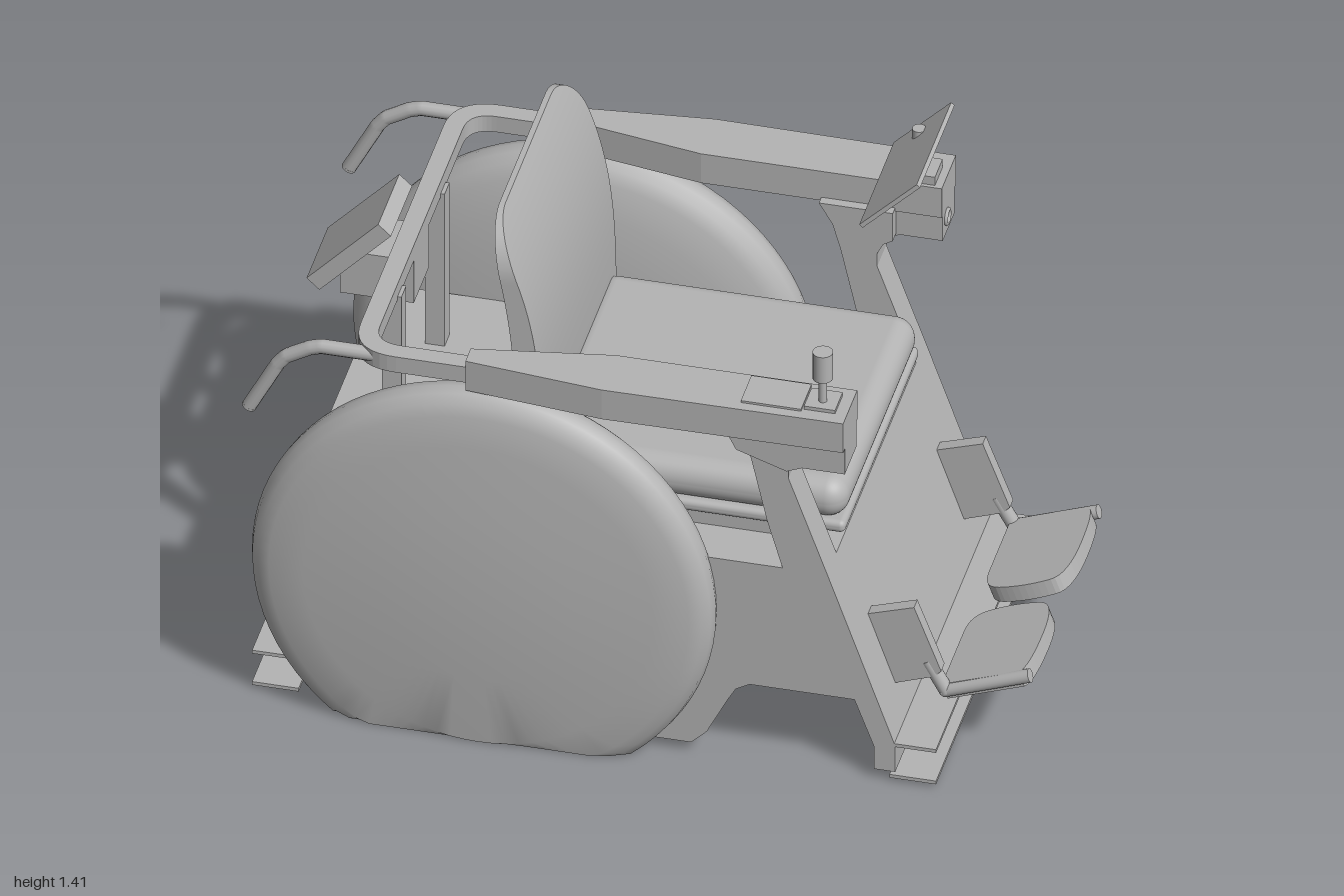
import * as THREE from 'three';
import { toCreasedNormals } from 'three/addons/utils/BufferGeometryUtils.js';
import { RoundedBoxGeometry } from 'three/addons/geometries/RoundedBoxGeometry.js';

export function createModel() {
  const model = new THREE.Group();
  const grey = new THREE.MeshStandardMaterial({ color: 0xb4b4b4 });
  grey.name = 'grey';

  const add = (name, geometry) => {
    const mesh = new THREE.Mesh(geometry, grey);
    mesh.name = name;
    model.add(mesh);
    return mesh;
  };
  // Box given by its limits on each axis
  const box = (name, x0, x1, y0, y1, z0, z1) =>
    add(name, new THREE.BoxGeometry(x1 - x0, y1 - y0, z1 - z0)
      .translate((x0 + x1) / 2, (y0 + y1) / 2, (z0 + z1) / 2));
  const shapeOf = (pts) => new THREE.Shape(pts.map(([x, y]) => new THREE.Vector2(x, y)));
  // Side outline (x, y) extruded from z0 to z1
  const slab = (name, pts, z0, z1) =>
    add(name, new THREE.ExtrudeGeometry(shapeOf(pts), { depth: z1 - z0, bevelEnabled: false })
      .translate(0, 0, z0));
  // Plan outline (x, z) extruded from y0 to y1
  const plan = (name, pts, y0, y1) =>
    add(name, new THREE.ExtrudeGeometry(shapeOf(pts.map(([x, z]) => [x, -z])),
      { depth: y1 - y0, bevelEnabled: false }).rotateX(-Math.PI / 2).translate(0, y0, 0));
  const rod = (name, a, b, r) => {
    const p = new THREE.Vector3(...a), q = new THREE.Vector3(...b);
    const mesh = add(name, new THREE.CylinderGeometry(r, r, p.distanceTo(q), 20));
    mesh.position.copy(p).add(q).multiplyScalar(0.5);
    mesh.quaternion.setFromUnitVectors(new THREE.Vector3(0, 1, 0), q.sub(p).normalize());
    return mesh;
  };
  const span = (s, a, b) => (s > 0 ? [a, b] : [-b, -a]);

  // Domed wheel covers, cut flat at the ground
  const wheelProfile = [[0, 0.42], [0.3, 0.42], [0.45, 0.44], [0.54, 0.462], [0.575, 0.48], [0.592, 0.503],
    [0.597, 0.53], [0.59, 0.556], [0.57, 0.575], [0.54, 0.587], [0.45, 0.596], [0.25, 0.612], [0, 0.618]]
    .map(([r, z]) => new THREE.Vector2(r, z));
  for (const s of [1, -1]) {
    const g = new THREE.LatheGeometry(wheelProfile, 80)
      .rotateX(s * Math.PI / 2).translate(-0.378, 0.45, 0);
    const p = g.attributes.position;
    for (let i = 0; i < p.count; i++) p.setY(i, Math.max(0, p.getY(i)));
    add('wheelCover', toCreasedNormals(g, 0.6));
  }

  // Hollow base: deck, rear wall with cover plate, sloping front panel
  box('deck', -0.87, 0.5, 0.585, 0.61, -0.42, 0.42);
  box('rearWall', -0.87, -0.85, 0.02, 0.6, -0.45, 0.45);
  box('rearCoverPlate', -0.876, -0.869, 0.14, 0.52, -0.33, 0.33);
  slab('frontPanel', [[0.375, 0.61], [0.5, 0.61], [0.675, 0.11], [0.675, 0.03], [0.655, 0.03],
    [0.655, 0.11], [0.485, 0.59], [0.375, 0.59]], -0.51, 0.51);
  for (const y of [0.01, 0.107]) {
    box('frontFlange', 0.66, 0.78, y, y + 0.01, -0.51, 0.51);
    box('rearFlange', -0.98, -0.86, y, y + 0.01, -0.51, 0.51);
  }

  // Side frames with leaning posts
  const frame = [[0.25, 1.06], [0.285, 1.0], [0.305, 0.93], [0.345, 0.75], [0.385, 0.61], [0.05, 0.61],
    [0, 0.03], [0.15, 0.03], [0.19, 0.07], [0.245, 0.18], [0.265, 0.215], [0.3, 0.235], [0.57, 0.235],
    [0.62, 0.1], [0.62, 0.03], [0.675, 0.03], [0.675, 0.11], [0.5, 0.61], [0.4, 0.89], [0.4, 0.93],
    [0.415, 0.96], [0.44, 0.975], [0.44, 1.06]];
  for (const s of [1, -1]) {
    slab('sideFrame', frame, ...span(s, 0.415, 0.51));
    // Armrest, its end block and push handle
    plan('armrest', [[-0.42, 0.5], [-0.06, 0.44], [0.56, 0.44], [0.56, 0.587], [-0.06, 0.592],
      [-0.42, 0.555]].map(([x, z]) => [x, s * z]), 1.05, 1.14);
    slab('armrestEnd', [[0.25, 1.06], [0.28, 1.0], [0.41, 0.955], [0.45, 0.972], [0.56, 0.972], [0.56, 1.06]],
      ...span(s, 0.45, 0.57));
    const handle = new THREE.CurvePath();
    const pts = [[-0.64, 1.095], [-0.8, 1.095], [-0.83, 1.085], [-0.89, 1.05], [-0.91, 1.025], [-0.985, 0.88]]
      .map(([x, y]) => new THREE.Vector3(x, y, s * 0.52));
    for (let i = 1; i < pts.length; i++) handle.add(new THREE.LineCurve3(pts[i - 1], pts[i]));
    add('pushHandle', new THREE.TubeGeometry(handle, 50, 0.019, 12));
    rod('pushHandleEnd', [-0.983, 0.884, s * 0.52], [-0.986, 0.878, s * 0.52], 0.019);
    box('backrestBracket', -0.48, -0.3, 0.69, 0.75, ...span(s, 0.32, 0.38));
    box('rearPost', -0.71, -0.66, 0.6, 1.08, ...span(s, 0.2, 0.25));
  }

  // Rear U-shaped rail joining the armrests
  const rail = new THREE.Shape();
  rail.moveTo(-0.41, -0.55).lineTo(-0.6, -0.55).quadraticCurveTo(-0.72, -0.55, -0.72, -0.43)
    .lineTo(-0.72, 0.43).quadraticCurveTo(-0.72, 0.55, -0.6, 0.55).lineTo(-0.41, 0.55)
    .lineTo(-0.41, 0.5).lineTo(-0.6, 0.5).quadraticCurveTo(-0.67, 0.5, -0.67, 0.43)
    .lineTo(-0.67, -0.43).quadraticCurveTo(-0.67, -0.5, -0.6, -0.5).lineTo(-0.41, -0.5);
  add('rearRail', new THREE.ExtrudeGeometry(rail, { depth: 0.048, bevelEnabled: false, curveSegments: 10 })
    .rotateX(-Math.PI / 2).translate(0, 1.07, 0));

  // Tilted unit on the rear rail
  const unit = add('rearUnit', new THREE.BoxGeometry(0.27, 0.045, 0.22));
  unit.position.set(-0.83, 1.075, 0);
  unit.rotation.z = 0.82;
  box('rearUnitMount', -0.86, -0.67, 0.94, 1.07, -0.08, 0.08);

  // Seat: supports, base plate and cushion
  for (const [z, w] of [[-0.325, 0.05], [0, 0.025], [0.325, 0.05]])
    box('seatSupport', -0.25, 0.38, 0.605, 0.655, z - w, z + w);
  add('seatBase', new RoundedBoxGeometry(0.8, 0.035, 0.78, 3, 0.015).translate(0.115, 0.667, 0));
  add('seatCushion', new RoundedBoxGeometry(0.82, 0.115, 0.78, 6, 0.055).translate(0.105, 0.733, 0));

  // Backrest: a curved slab with rounded top corners
  const back = new THREE.BoxGeometry(1, 1, 1, 1, 40, 12);
  const bp = back.attributes.position;
  for (let i = 0; i < bp.count; i++) {
    const v = Math.sin((bp.getY(i) + 0.5) * Math.PI / 2);
    const y = 0.68 + 0.73 * v;
    const corner = Math.max(0, y - 1.27);
    const half = 0.393 - 0.018 * v - 0.14 + Math.sqrt(Math.max(0, 0.0196 - corner * corner));
    const front = -0.265 - 0.13 * v ** 3.2;
    const thick = 0.065 - 0.05 * v ** 4;
    bp.setXYZ(i, bp.getX(i) > 0 ? front : front - thick, y, bp.getZ(i) * 2 * half);
  }
  add('backrest', toCreasedNormals(back, 0.6));

  // Joystick on the left-hand armrest of the rider's other side
  box('controlPanel', 0.29, 0.445, 1.138, 1.146, 0.45, 0.56);
  box('joystickBase', 0.45, 0.53, 1.138, 1.15, 0.47, 0.55);
  rod('joystickStem', [0.49, 1.14, 0.515], [0.49, 1.23, 0.515], 0.011);
  rod('joystickKnob', [0.49, 1.22, 0.515], [0.49, 1.3, 0.515], 0.026);

  // Tilted screen with its arm, and a round socket on the armrest end
  const screen = add('screen', new THREE.BoxGeometry(0.21, 0.012, 0.36));
  screen.position.set(0.49, 1.258, -0.36);
  screen.rotation.z = 0.79;
  box('screenFoot', 0.42, 0.54, 1.138, 1.165, -0.53, -0.45);
  rod('screenArm', [0.5, 1.15, -0.49], [0.44, 1.21, -0.49], 0.018);
  rod('screenPivot', [0.49, 1.18, -0.49], [0.49, 1.28, -0.49], 0.018);
  const socket = add('socketRing', new THREE.TorusGeometry(0.018, 0.006, 8, 24));
  socket.rotation.y = Math.PI / 2;
  socket.position.set(0.562, 1.02, -0.49);

  // Footrests: hanger plate, tube and tilted foot plate
  for (const s of [1, -1]) {
    slab('footrestHanger', [[0.57, 0.405], [0.69, 0.445], [0.76, 0.26], [0.74, 0.24], [0.63, 0.2]],
      ...span(s, 0.34, 0.375));
    rod('footrestPivot', [0.72, 0.28, s * 0.358], [0.77, 0.19, s * 0.358], 0.019);
    rod('footrestTube', [0.76, 0.19, s * 0.358], [0.985, 0.275, s * 0.358], 0.018);
    const sole = new THREE.Shape();
    sole.moveTo(-0.12, 0.16).lineTo(0.09, 0.16).quadraticCurveTo(0.115, 0.15, 0.115, 0)
      .quadraticCurveTo(0.115, -0.14, 0.07, -0.15).quadraticCurveTo(0, -0.165, -0.07, -0.15)
      .quadraticCurveTo(-0.12, -0.14, -0.12, -0.07);
    const g = new THREE.ExtrudeGeometry(sole, { depth: 0.045, bevelEnabled: false, curveSegments: 8 })
      .translate(0, 0, -0.0225).rotateX(s > 0 ? Math.PI / 2 : -Math.PI / 2);
    const plate = add('footPlate', g);
    plate.position.set(0.878, 0.23, s * 0.2);
    plate.rotation.z = 0.35;
  }
  return model;
}
